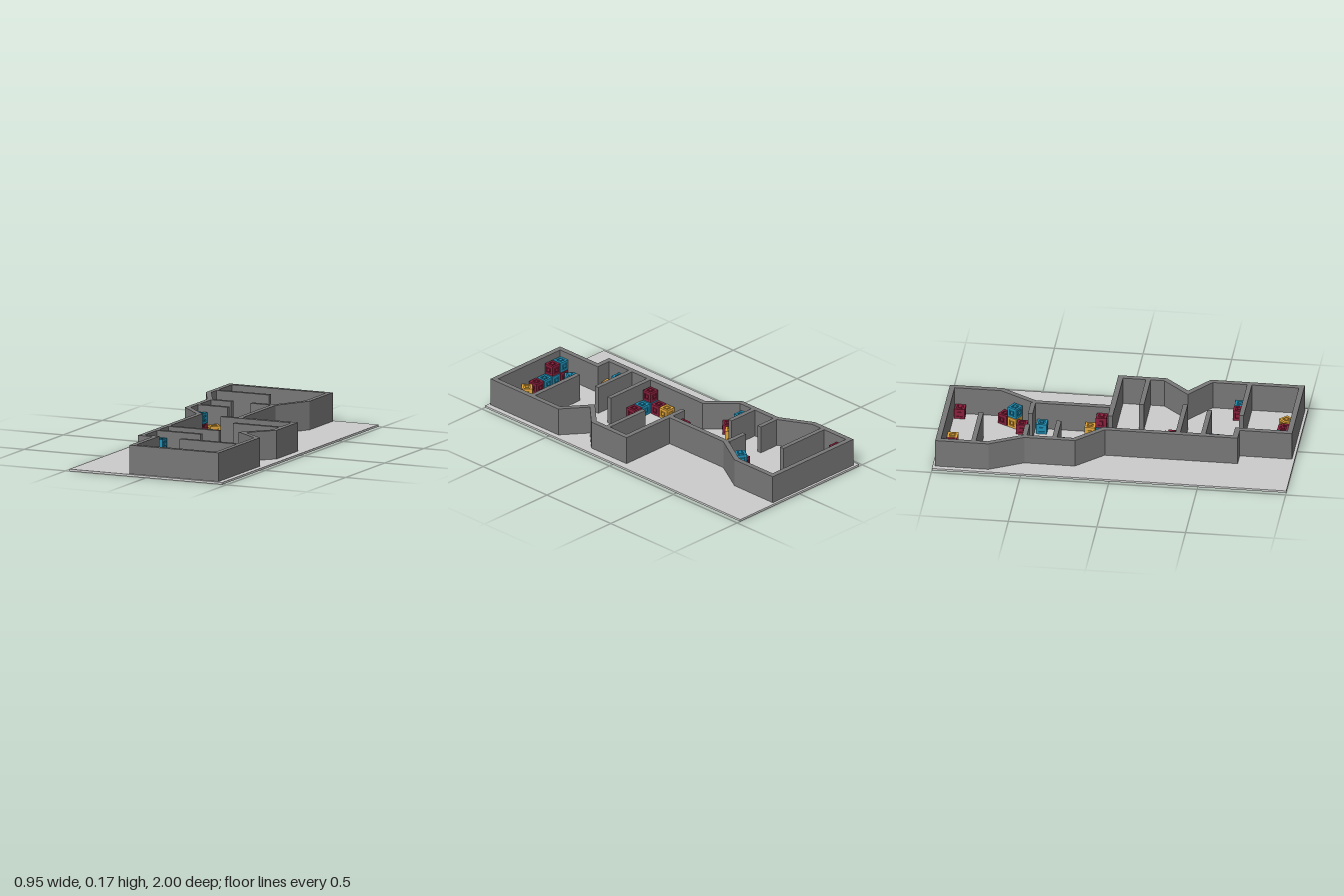
import * as THREE from 'three';
import { mergeGeometries } from 'three/addons/utils/BufferGeometryUtils.js';

const FLOOR = 0.012, TOP = 0.175, WALL = 0.03, CRATE = 0.064;

const material = (color) => new THREE.MeshStandardMaterial({ color, flatShading: true });

function addMesh(parent, name, geometry, mat) {
  const mesh = new THREE.Mesh(geometry, mat);
  mesh.name = name;
  parent.add(mesh);
  return mesh;
}

function box(w, h, d, x, y, z) {
  return new THREE.BoxGeometry(w, h, d).translate(x, y, z);
}

// Moves every edge of a closed outline inwards by the same distance
function inset(outline, distance) {
  const normal = (a, b) => {
    const d = b.clone().sub(a).normalize();
    return new THREE.Vector2(-d.y, d.x);
  };
  return outline.map((p, i) => {
    const before = normal(outline.at(i - 1), p);
    const after = normal(p, outline[(i + 1) % outline.length]);
    const scale = distance / (1 + before.dot(after));
    return p.clone().addScaledVector(before.add(after), scale);
  });
}

// Extrudes a plan outline between two heights
function planSolid(shape, bottom, top) {
  return new THREE.ExtrudeGeometry(shape, { depth: top - bottom, bevelEnabled: false })
    .rotateX(Math.PI / 2).translate(0, top, 0);
}

// Crate: recessed core, twelve edge beams and a raised block on every face
function crateGeometry() {
  const s = CRATE, beam = 0.013, e = (s - beam) / 2 - 0.002, core = s - 0.014, c = 0.02;
  const parts = [
    box(core, core, core, 0, 0, 0),
    box(s, c, c, 0, 0, 0), box(c, s, c, 0, 0, 0), box(c, c, s, 0, 0, 0),
  ];
  for (const a of [-e, e]) {
    for (const b of [-e, e]) {
      parts.push(box(2 * e - beam, beam, beam, 0, a, b));
      parts.push(box(beam, 2 * e + beam, beam, a, 0, b));
      parts.push(box(beam, beam, 2 * e - beam, a, b, 0));
    }
  }
  return mergeGeometries(parts);
}

export function createModel() {
  const model = new THREE.Group();
  model.name = 'levelLayout';
  const wallMat = material(0x777777);

  // Base plate
  addMesh(model, 'basePlate', box(0.95, FLOOR, 2, 0, FLOOR / 2, 0), material(0xcccccc));

  // Perimeter wall
  const outer = [
    [-0.445, -0.985], [0.2, -0.985], [0.2, -0.685], [0.085, -0.485], [0.085, -0.065],
    [0.43, -0.065], [0.43, 0.21], [0.305, 0.345], [0.445, 0.455], [0.445, 0.985],
    [-0.11, 0.985], [-0.11, 0.69], [-0.2, 0.69], [-0.2, -0.06], [-0.345, -0.21],
    [-0.345, -0.495], [-0.445, -0.685],
  ].map(([x, z]) => new THREE.Vector2(x, z));
  const inner = inset(outer, WALL);
  const ring = new THREE.Shape(outer);
  ring.holes.push(new THREE.Path(inner));
  addMesh(model, 'perimeterWall', planSolid(ring, FLOOR, TOP), wallMat);

  // Pale room floor inside the walls
  addMesh(model, 'roomFloor',
    planSolid(new THREE.Shape(inner), FLOOR - 0.004, FLOOR + 0.001), material(0xffffff));

  // Partitions: x start, x end, z centre
  const partitions = [
    [-0.415, -0.09, -0.772], [-0.315, -0.19, -0.497], [-0.07, 0.057, -0.497],
    [-0.315, -0.13, -0.327], [-0.04, 0.055, -0.05], [0.115, 0.4, 0.107],
    [-0.17, 0.145, 0.35], [-0.17, 0.1, 0.493], [0.06, 0.415, 0.677],
  ];
  for (const [x0, x1, z] of partitions) {
    addMesh(model, 'partition',
      box(x1 - x0, TOP - FLOOR, 0.027, (x0 + x1) / 2, (TOP + FLOOR) / 2, z), wallMat);
  }

  // Crate rows: stacks (colours from the bottom up), first x and z, then step x and z, turn
  const colors = { r: material(0x8a1f3c), b: material(0x1f8fb5), y: material(0xe0a53a) };
  const rows = [
    ['br b r y', -0.378, -0.92, CRATE],
    ['r', 0.134, -0.92],
    ['r yb', 0.098, -0.66, -0.033, 0.06, -30],
    ['r b', 0, -0.552, 0.02, 0.109],
    ['rb', -0.28, -0.27],
    ['y r', -0.193, -0.27, -0.047, 0.067, 42],
    ['y br', 0.02, -0.17, 0, CRATE],
    ['y r br', -0.133, 0.17, 0, CRATE],
    ['b r', -0.068, 0.3, CRATE],
    ['rb r', -0.133, 0.545, CRATE],
    ['y', -0.13, 0.623, 0, 0, 10],
    ['r b', 0.314, 0.63, CRATE],
    ['b', -0.04, 0.84, 0, 0, 45],
    ['rb br b r', -0.045, 0.918, CRATE],
    ['y', 0.23, 0.91, 0, 0, 45],
  ];
  const geometry = crateGeometry();
  for (const [stacks, x, z, stepX = 0, stepZ = 0, turn = 0] of rows) {
    stacks.split(' ').forEach((stack, i) => {
      [...stack].forEach((color, level) => {
        const crate = addMesh(model, 'crate', geometry, colors[color]);
        crate.position.set(x + i * stepX, FLOOR + CRATE * (level + 0.5) + 0.001, z + i * stepZ);
        crate.rotation.y = THREE.MathUtils.degToRad(turn);
      });
    });
  }
  return model;
}
